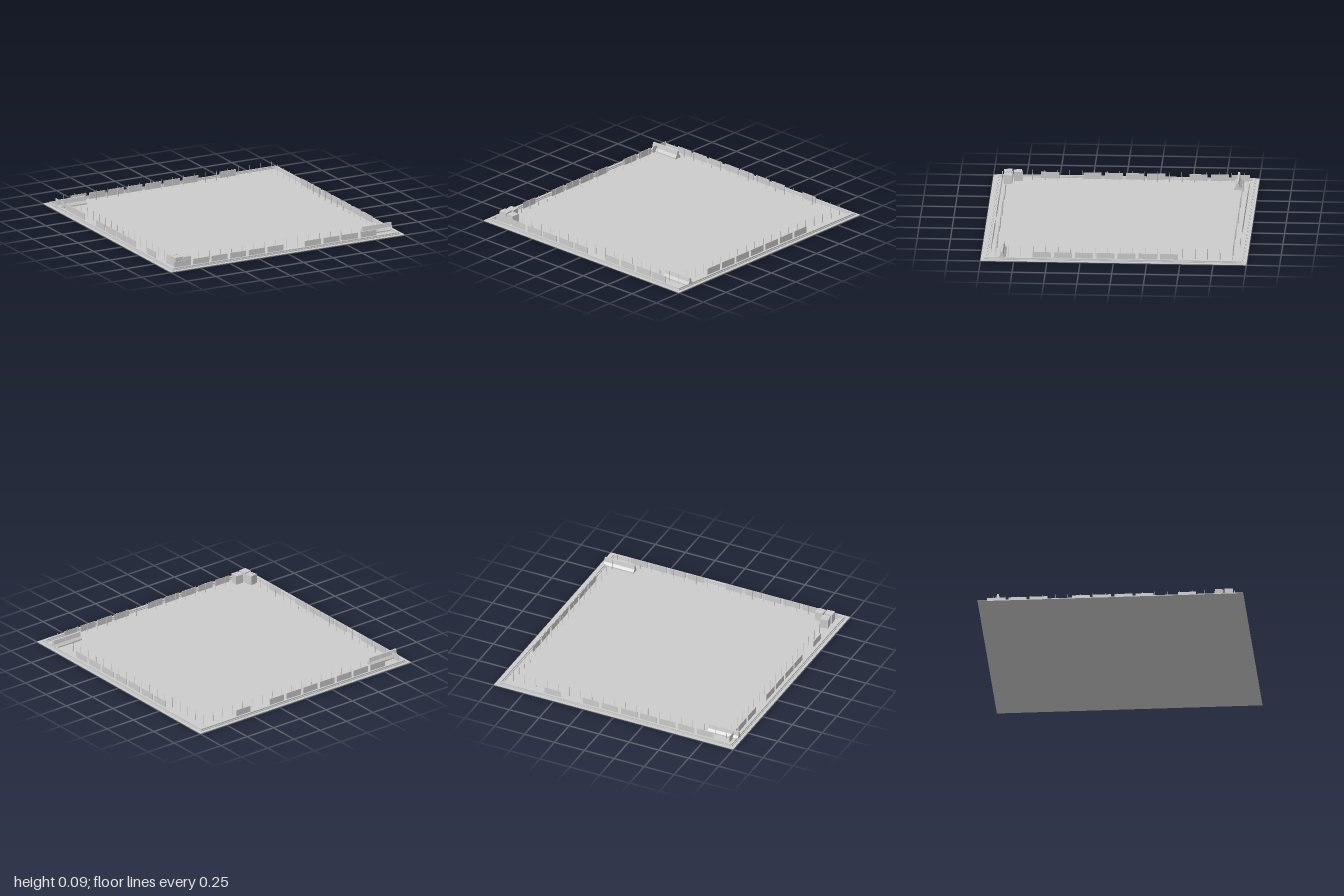
import * as THREE from 'three';

const mat = new THREE.MeshStandardMaterial({ color: 0xcccccc, flatShading: true });
const FLOOR = 0.005;

function add(parent, name, geometry, x = 0, y = 0, z = 0, turn = 0) {
  const mesh = new THREE.Mesh(geometry, mat);
  mesh.name = name;
  mesh.position.set(x, y, z);
  mesh.rotation.y = turn;
  parent.add(mesh);
  return mesh;
}

// Square frame lying flat, with outer and inner half widths
function frame(outer, inner, height) {
  const square = (Type, h) => new Type([[-h, -h], [h, -h], [h, h], [-h, h]].map(([x, y]) => new THREE.Vector2(x, y)));
  const shape = square(THREE.Shape, outer);
  shape.holes.push(square(THREE.Path, inner));
  return new THREE.ExtrudeGeometry(shape, { depth: height, bevelEnabled: false }).rotateX(-Math.PI / 2);
}

// Road barrier: flared foot, narrow top, running along x
function barrierGeometry(length) {
  const half = [[0.028, 0], [0.028, 0.01], [0.013, 0.028], [0.007, 0.06]];
  const outline = [...half, ...half.slice().reverse().map(([x, y]) => [-x, y])];
  const shape = new THREE.Shape(outline.map(([x, y]) => new THREE.Vector2(x, y)));
  return new THREE.ExtrudeGeometry(shape, { depth: length, bevelEnabled: false })
    .translate(0, 0, -length / 2).rotateY(Math.PI / 2);
}

export function createModel() {
  const model = new THREE.Group();
  model.name = 'yard';

  // Ground and stepped curb
  add(model, 'ground', new THREE.BoxGeometry(2, FLOOR, 2), 0, FLOOR / 2, 0);
  add(model, 'curbFoot', frame(0.977, 0.948, 0.006), 0, FLOOR, 0);
  add(model, 'curb', frame(0.97, 0.957, 0.015), 0, FLOOR, 0);

  // Fence panels: first centre and the occupied slots on each side
  const fence = new THREE.Group();
  fence.name = 'fence';
  model.add(fence);
  const step = 0.1595;
  const panel = new THREE.BoxGeometry(0.136, 0.05, 0.004);
  const sides = [
    { name: 'frontPanel', start: -0.865, slots: [0, 1, 2, 3, 4, 5, 7, 8, 9, 10], at: s => [s, 0.93, 0] },
    { name: 'backPanel', start: -0.735, slots: [0, 1, 2, 3, 4, 5, 6, 8], at: s => [s, -0.933, 0] },
    { name: 'rightPanel', start: -0.864, slots: [0, 1, 2, 4, 5, 6, 7, 9], at: s => [-0.933, s, Math.PI / 2] },
    { name: 'leftPanel', start: -0.415, slots: [0, 1, 2, 3, 4, 5, 6], at: s => [0.93, s, Math.PI / 2] },
  ];
  for (const { name, start, slots, at } of sides) {
    for (const i of slots) {
      const [x, z, turn] = at(start + i * step);
      add(fence, name, panel, x, FLOOR + 0.025, z, turn);
    }
  }

  // Thin posts in a square just inside the fence
  const posts = new THREE.Group();
  posts.name = 'posts';
  model.add(posts);
  const post = new THREE.CylinderGeometry(0.0018, 0.0025, 0.08, 6);
  const count = 19, inset = 0.89;
  for (let i = 0; i < count; i++) {
    const s = -inset + (2 * inset * i) / count;
    for (const [x, z] of [[s, inset], [-s, -inset], [inset, -s], [-inset, s]]) {
      add(posts, 'post', post, x, FLOOR + 0.04, z);
    }
  }

  // Barriers at two opposite corners
  const barrier = barrierGeometry(0.25);
  add(model, 'frontBarrier', barrier, 0.845, FLOOR, 0.842);
  add(model, 'backBarrier', barrier, -0.85, FLOOR, -0.848);

  // Crates in the third corner
  for (const [x, z, height, turn] of [[-0.885, 0.81, 0.073, 0.2], [-0.886, 0.883, 0.075, 0.08], [-0.812, 0.882, 0.07, -0.06]]) {
    add(model, 'crate', new THREE.BoxGeometry(0.063, height, 0.063), x, FLOOR + height / 2, z, turn);
  }
  return model;
}
